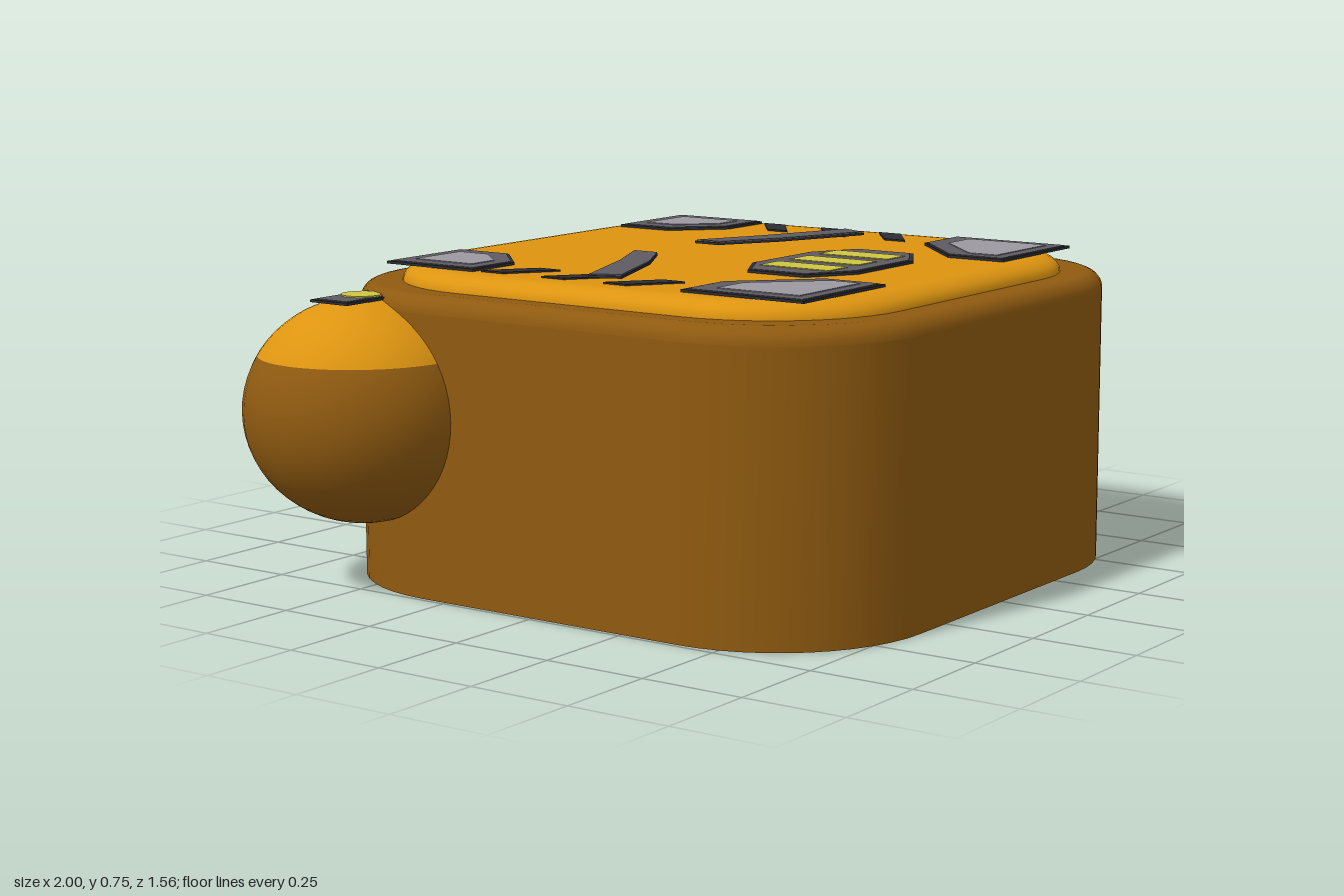
import * as THREE from 'three';

const mat = (name, color) => {
  const m = new THREE.MeshStandardMaterial({ color });
  m.name = name;
  return m;
};

// Outline of a rounded square, always with the same number of points
function roundedSquare(half, radius, steps = 12) {
  const pts = [];
  for (let c = 0; c < 4; c++) {
    const mid = Math.PI / 4 + c * Math.PI / 2;
    const cx = Math.sign(Math.cos(mid)) * (half - radius);
    const cz = Math.sign(Math.sin(mid)) * (half - radius);
    for (let i = 0; i <= steps; i++) {
      const a = (c + i / steps) * Math.PI / 2;
      pts.push([cx + radius * Math.cos(a), cz + radius * Math.sin(a)]);
    }
  }
  return pts;
}

// Skin over rings [inset, y], bottom to top, closed by a fan at the top
function loft(half, radius, rings) {
  const pos = [], idx = [];
  let n = 0;
  rings.forEach(([inset, y]) => {
    const ring = roundedSquare(half - inset, radius - inset);
    n = ring.length;
    ring.forEach(([x, z]) => pos.push(x, y, z));
  });
  for (let r = 0; r < rings.length - 1; r++) {
    for (let i = 0; i < n; i++) {
      const a = r * n + i, b = r * n + (i + 1) % n;
      idx.push(a, a + n, b, b, a + n, b + n);
    }
  }
  const last = (rings.length - 1) * n, centre = rings.length * n;
  pos.push(0, rings[rings.length - 1][1], 0);
  for (let i = 0; i < n; i++) idx.push(last + i, centre, last + (i + 1) % n);
  const g = new THREE.BufferGeometry();
  g.setAttribute('position', new THREE.Float32BufferAttribute(pos, 3));
  g.setIndex(idx);
  g.computeVertexNormals();
  return g;
}

// Rings of a rounded upper edge
function edgeRings(width, y0, y1, steps = 6) {
  return Array.from({ length: steps + 1 }, (_, i) => {
    const a = i / steps * Math.PI / 2;
    return [width * (1 - Math.cos(a)), y0 + (y1 - y0) * Math.sin(a)];
  });
}

export function createModel() {
  const group = new THREE.Group();
  const brown = mat('brown', 0x8f5a10);
  const orange = mat('orange', 0xdd9410);
  const dark = mat('charcoal', 0x2b2d33);
  const gray = mat('darkGray', 0x5d5b62);
  const light = mat('lightGray', 0x9b989f);
  const yellow = mat('yellow', 0xd0c543);

  const add = (name, geometry, material) => {
    const m = new THREE.Mesh(geometry, material);
    m.name = name;
    group.add(m);
    return m;
  };

  // Flat plate from [x, z] corners, shrunk about its middle if wanted
  const plate = (name, pts, y, height, material, margin = 0) => {
    const xs = pts.map(p => p[0]), zs = pts.map(p => p[1]);
    const x0 = Math.min(...xs), x1 = Math.max(...xs), z0 = Math.min(...zs), z1 = Math.max(...zs);
    const cx = (x0 + x1) / 2, cz = (z0 + z1) / 2;
    const sx = 1 - 2 * margin / (x1 - x0), sz = 1 - 2 * margin / (z1 - z0);
    const shape = new THREE.Shape(pts.map(([x, z]) =>
      new THREE.Vector2(cx + (x - cx) * sx, -(cz + (z - cz) * sz))));
    const g = new THREE.ExtrudeGeometry(shape, { depth: height, bevelEnabled: false });
    g.rotateX(-Math.PI / 2);
    return add(name, g, material).position.y = y;
  };
  const framed = (name, pts, y) => {
    plate(name + 'Edge', pts, y, 0.006, dark);
    plate(name, pts, y + 0.002, 0.006, gray, 0.009);
  };
  const rect = (x0, x1, z0, z1) => [[x0, z0], [x1, z0], [x1, z1], [x0, z1]];

  // Body, underside and raised top panel
  add('body', loft(0.74, 0.38, [[0.03, 0], [0, 0], [0, 0], [0, 0.66], ...edgeRings(0.04, 0.66, 0.7)]),
    brown).position.z = 0.04;
  const base = new THREE.ShapeGeometry(new THREE.Shape(
    roundedSquare(0.71, 0.35).map(([x, z]) => new THREE.Vector2(x, z))));
  base.rotateX(Math.PI / 2);
  add('underside', base, orange).position.z = 0.04;
  add('topPanel', loft(0.657, 0.34, [[0, 0.69], ...edgeRings(0.06, 0.7, 0.74)]), orange).position.z = 0.037;

  // Corner plates and brows, as given for the +x side
  const backPlate = [[0.585, -0.545], [0.32, -0.545], [0.32, -0.395], [0.435, -0.285], [0.585, -0.285]];
  const backInlay = [[0.535, -0.5], [0.375, -0.5], [0.375, -0.415], [0.455, -0.33], [0.535, -0.33]];
  const frontPlate = [[0.585, 0.3], [0.435, 0.3], [0.26, 0.47], [0.26, 0.62], [0.585, 0.62]];
  const frontInlay = [[0.54, 0.365], [0.44, 0.365], [0.3, 0.505], [0.3, 0.58], [0.54, 0.58]];
  const brow = [[0.535, 0.01], [0.295, -0.085], [0.125, -0.17], [0.125, -0.1], [0.27, -0.015], [0.505, 0.08]];
  const stripe = [[0.575, -0.27], [0.465, -0.185], [0.465, -0.125], [0.575, -0.205]];
  const top = 0.741;

  for (const [side, s] of [['left', 1], ['right', -1]]) {
    const flip = pts => pts.map(([x, z]) => [x * s, z]);
    framed(side + 'BackPlate', flip(backPlate), top);
    plate(side + 'BackInlay', flip(backInlay), top + 0.004, 0.006, light);
    framed(side + 'FrontPlate', flip(frontPlate), top);
    plate(side + 'FrontInlay', flip(frontInlay), top + 0.004, 0.006, light);
    for (let i = 0; i < 3; i++) {
      plate(side + 'Stripe', flip(stripe.map(([x, z]) => [x, z + i * 0.175])), top, 0.004, dark);
    }
    plate(side + 'BrowEdge', flip(brow), top + 0.003, 0.006, dark);
    plate(side + 'Brow', flip(brow), top + 0.006, 0.006, gray, 0.004);

    // Round ear: dark lower part, bright cap and a lamp plate on top
    const split = Math.acos(0.5);
    for (const [name, start, length, m] of [
      ['EarCap', 0, split, orange], ['EarBase', split, Math.PI - split, brown]]) {
      const ear = add(side + name, new THREE.SphereGeometry(1, 40, 20, 0, Math.PI * 2, start, length), m);
      ear.scale.set(0.278, 0.262, 0.278);
      ear.position.set(s * 0.722, 0.42, -0.503);
    }
    framed(side + 'LampPlate', flip(rect(0.605, 0.835, -0.557, -0.445)), 0.678);
    add(side + 'Lamp', new THREE.CylinderGeometry(0.048, 0.048, 0.006, 28), yellow)
      .position.set(s * 0.722, 0.686, -0.502);
  }

  // Mouth grille with three bars
  framed('mouth', [[-0.235, 0.235], [-0.12, 0.17], [0.12, 0.17], [0.235, 0.235],
    [0.235, 0.39], [0.12, 0.46], [-0.12, 0.46], [-0.235, 0.39]], top);
  for (const x of [-0.125, 0, 0.125]) {
    plate('mouthBar', rect(x - 0.04, x + 0.04, 0.22, 0.41), top + 0.004, 0.006, yellow);
  }
  return group;
}
